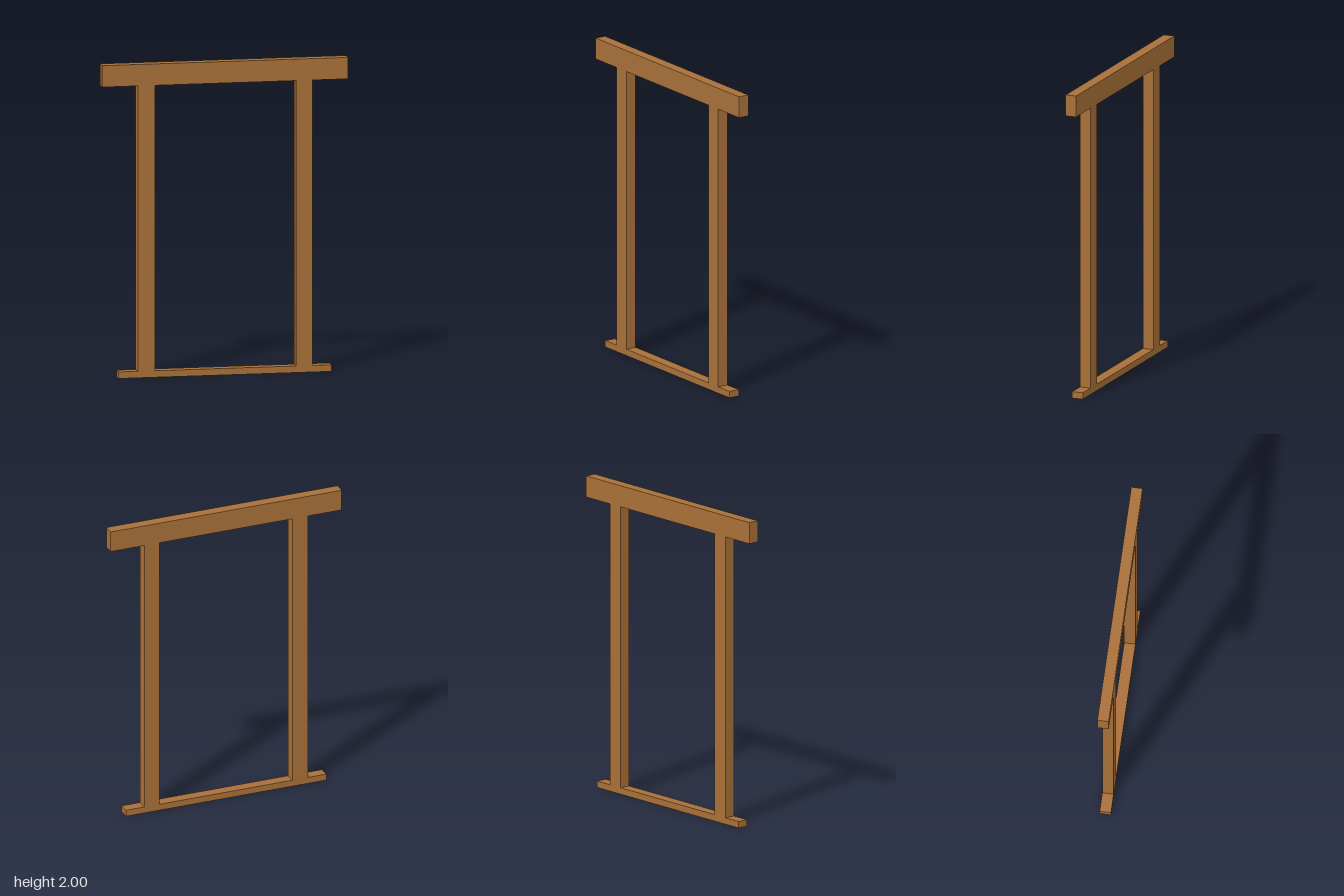
import * as THREE from 'three';

const DEPTH = 0.072;
const SILL_TOP = 0.042;
const LINTEL_BOTTOM = 1.863;

export function createModel() {
  const group = new THREE.Group();
  group.name = 'doorFrame';
  const wood = new THREE.MeshStandardMaterial({ color: 0xa87038 });

  // A beam given by its left, right, bottom and top limits
  function beam(name, x0, x1, y0, y1) {
    const mesh = new THREE.Mesh(new THREE.BoxGeometry(x1 - x0, y1 - y0, DEPTH), wood);
    mesh.position.set((x0 + x1) / 2, (y0 + y1) / 2, 0);
    mesh.name = name;
    group.add(mesh);
  }

  // Horizontal members
  beam('lintel', -0.787, 0.787, LINTEL_BOTTOM, 2);
  beam('sill', -0.682, 0.682, 0, SILL_TOP);

  // Upright posts between sill and lintel
  beam('rightPost', -0.558, -0.45, SILL_TOP, LINTEL_BOTTOM);
  beam('leftPost', 0.455, 0.558, SILL_TOP, LINTEL_BOTTOM);

  return group;
}
